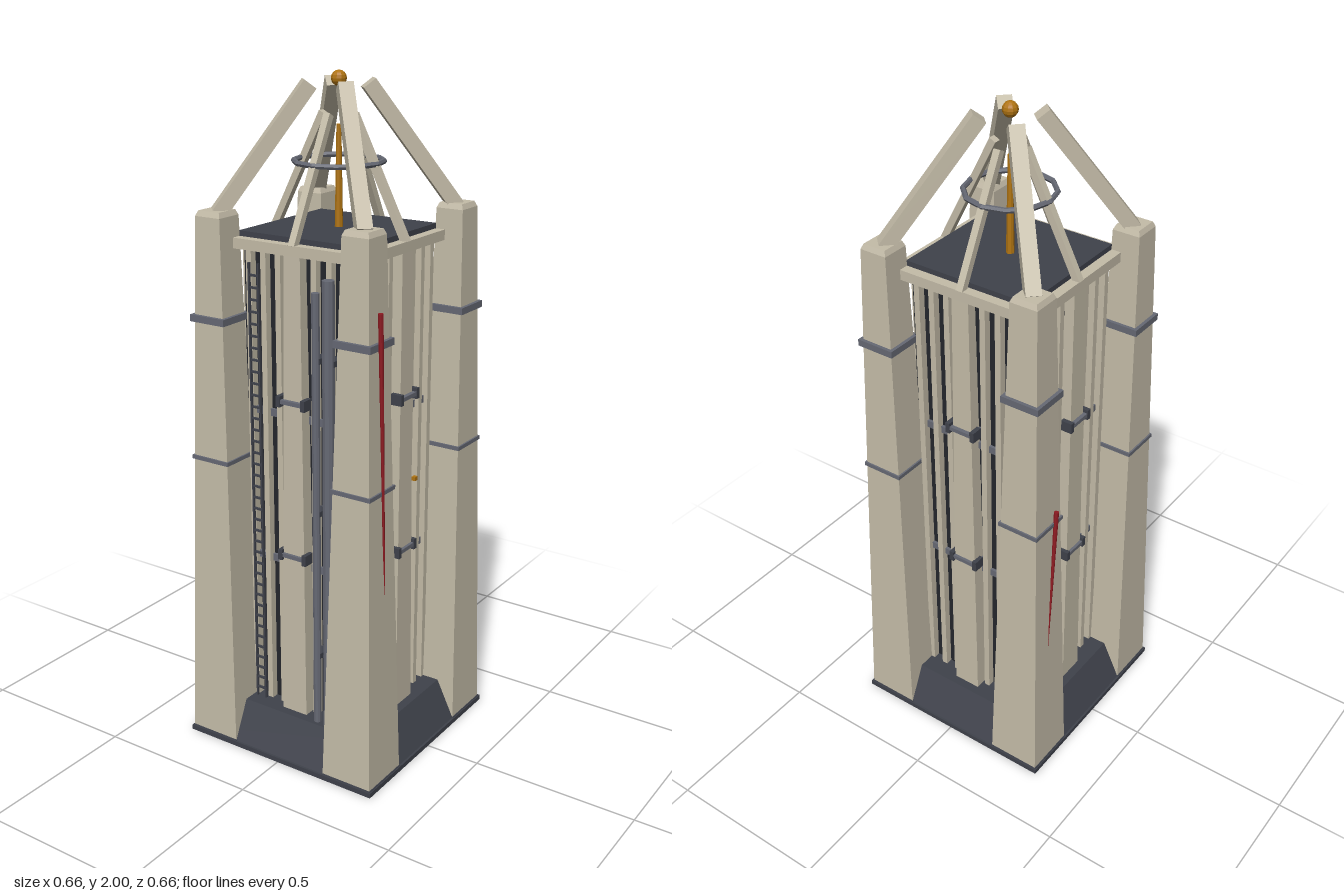
import * as THREE from 'three';

const mat = (color) => new THREE.MeshStandardMaterial({ color, flatShading: true });
const V = (x, y, z) => new THREE.Vector3(x, y, z);

export function createModel() {
  const root = new THREE.Group();
  const stone = mat(0xc4bca8), dark = mat(0x3f424b), black = mat(0x24262c);
  const steel = mat(0x666974), amber = mat(0xb07412), red = mat(0x8e1b22);

  const add = (parent, name, geo, material, x = 0, y = 0, z = 0) => {
    const m = new THREE.Mesh(geo, material);
    m.name = name;
    m.position.set(x, y, z);
    parent.add(m);
    return m;
  };
  const box = (parent, name, material, w, h, d, x, y, z) =>
    add(parent, name, new THREE.BoxGeometry(w, h, d), material, x, y, z);

  // Box from y0 to y1 whose section shrinks from [w0, d0] to [w1, d1]
  const taper = (w0, d0, w1, d1, y0, y1) => {
    const g = new THREE.BoxGeometry(1, y1 - y0, 1).translate(0, (y0 + y1) / 2, 0);
    const p = g.attributes.position, mid = (y0 + y1) / 2;
    for (let i = 0; i < p.count; i++) {
      const top = p.getY(i) > mid;
      p.setX(i, p.getX(i) * (top ? w1 : w0));
      p.setZ(i, p.getZ(i) * (top ? d1 : d0));
    }
    g.computeVertexNormals();
    return g;
  };

  // Aligns a mesh built along y with the segment a-b
  const along = (mesh, a, b) => {
    mesh.position.copy(a).add(b).multiplyScalar(0.5);
    mesh.quaternion.setFromUnitVectors(V(0, 1, 0), b.clone().sub(a).normalize());
    return mesh;
  };

  // Base and plinth
  box(root, 'basePlate', dark, 0.66, 0.015, 0.66, 0, 0.0075, 0);
  add(root, 'plinth', taper(0.65, 0.65, 0.53, 0.53, 0.012, 0.13), dark);

  // Core and roof
  box(root, 'core', black, 0.38, 1.4, 0.38, 0, 0.83, 0);
  box(root, 'roof', dark, 0.4, 0.045, 0.4, 0, 1.548, 0);

  // Corner pillars with bevelled caps and bands
  const half = (y) => 0.082 - 0.0395 * y / 1.615;
  for (const sx of [-1, 1]) for (const sz of [-1, 1]) {
    const pillar = new THREE.Group();
    pillar.name = 'cornerPillar';
    pillar.position.set(sx * 0.2425, 0, sz * 0.2425);
    root.add(pillar);
    add(pillar, 'pillarFoot', taper(0.175, 0.175, 0.168, 0.168, 0, 0.018), dark);
    add(pillar, 'pillarShaft', taper(0.164, 0.164, 0.085, 0.085, 0.002, 1.615), stone);
    add(pillar, 'pillarCap', taper(0.085, 0.085, 0.072, 0.072, 1.615, 1.63), stone);
    for (const [y, h, grow] of [[1.327, 0.02, 0.01], [0.91, 0.012, 0.005]]) {
      const w = 2 * (half(y) + grow);
      box(pillar, 'pillarBand', steel, w, h, w, 0, y, 0);
    }

    // Crown beam leaning from the pillar toward the centre
    const a = V(sx * 0.24, 1.62, sz * 0.24), b = V(sx * 0.058, 1.965, sz * 0.058);
    const beam = box(root, 'crownBeam', stone, 0.042, a.distanceTo(b), 0.042, 0, 0, 0);
    // Keep two faces of the beam in its vertical plane
    const up = b.clone().sub(a).normalize();
    const side = V(0, 1, 0).cross(up).normalize();
    const m = new THREE.Matrix4().makeBasis(side, up, side.clone().cross(up));
    beam.quaternion.setFromRotationMatrix(m);
    beam.position.copy(a).add(b).multiplyScalar(0.5);
  }

  // Four equal facades
  for (let i = 0; i < 4; i++) {
    const side = new THREE.Group();
    side.name = 'facade';
    side.rotation.y = i * Math.PI / 2;
    root.add(side);
    add(side, 'pilaster', taper(0.086, 0.05, 0.054, 0.03, 0.12, 1.53), stone, 0, 0, 0.213);
    for (const s of [-1, 1]) for (const x of [0.06, 0.11, 0.16])
      box(side, 'fin', stone, 0.018, 1.4, 0.024, s * x, 0.83, 0.2);
    for (const y of [0.6, 1.055])
      box(side, 'crossRail', steel, 0.36, 0.022, 0.012, 0, y, 0.193);
    for (const y of [0.64, 1.11]) {
      box(side, 'pilasterClamp', steel, 0.082, 0.012, 0.05, 0, y, 0.218);
      for (const s of [-1, 1])
        box(side, 'clampLug', dark, 0.014, 0.032, 0.036, s * 0.042, y, 0.227);
    }
    box(side, 'roofBeam', stone, 0.46 - (i % 2) * 0.08, 0.03, 0.04, 0, 1.54, 0.21);

    // Slim strut rising over the middle of the side
    const a = V(0, 1.55, 0.222), b = V(0, 1.885, 0.05);
    along(box(side, 'crownStrut', stone, 0.021, a.distanceTo(b), 0.021, 0, 0, 0), a, b);
  }

  // Crown ring, mast and finial
  const ring = add(root, 'crownRing', new THREE.TorusGeometry(0.126, 0.008, 6, 12), steel, 0, 1.755, 0);
  ring.rotation.x = Math.PI / 2;
  add(root, 'mast', new THREE.CylinderGeometry(0.007, 0.012, 0.29, 8), amber, 0, 1.71, 0);
  add(root, 'finial', new THREE.SphereGeometry(0.022, 10, 8), amber, 0, 1.978, 0);

  // Service pipes on the front
  for (const [x, r, h] of [[0.088, 0.012, 1.32], [0.13, 0.018, 1.36]]) {
    add(root, 'servicePipe', new THREE.CylinderGeometry(r, r, h, 10), steel, x, 0.12 + h / 2, 0.243);
    for (const y of [0.35, 0.8, 1.25])
      box(root, 'pipeBracket', dark, r * 2.2, 0.016, 0.05, x, y, 0.22);
  }

  // Ladder on the front
  for (const x of [-0.151, -0.119])
    box(root, 'ladderRail', dark, 0.005, 1.36, 0.008, x, 0.81, 0.222);
  for (let y = 0.16; y < 1.48; y += 0.035)
    box(root, 'ladderRung', dark, 0.032, 0.006, 0.006, -0.135, y, 0.222);

  // Small lamps on the front and left sides
  box(root, 'lamp', amber, 0.014, 0.012, 0.012, 0.11, 0.83, 0.22);
  box(root, 'lamp', amber, 0.012, 0.012, 0.014, 0.216, 0.83, -0.08);

  // Red streamers tapering downward on two pillars
  for (const [a, b] of [
    [V(0.308, 0.4, 0.22), V(0.308, 1.42, 0.263)],
    [V(-0.312, 0.45, -0.248), V(-0.308, 0.95, -0.212)],
  ])
    along(add(root, 'streamer', new THREE.CylinderGeometry(0.0075, 0.001, a.distanceTo(b), 8), red), a, b);

  return root;
}
